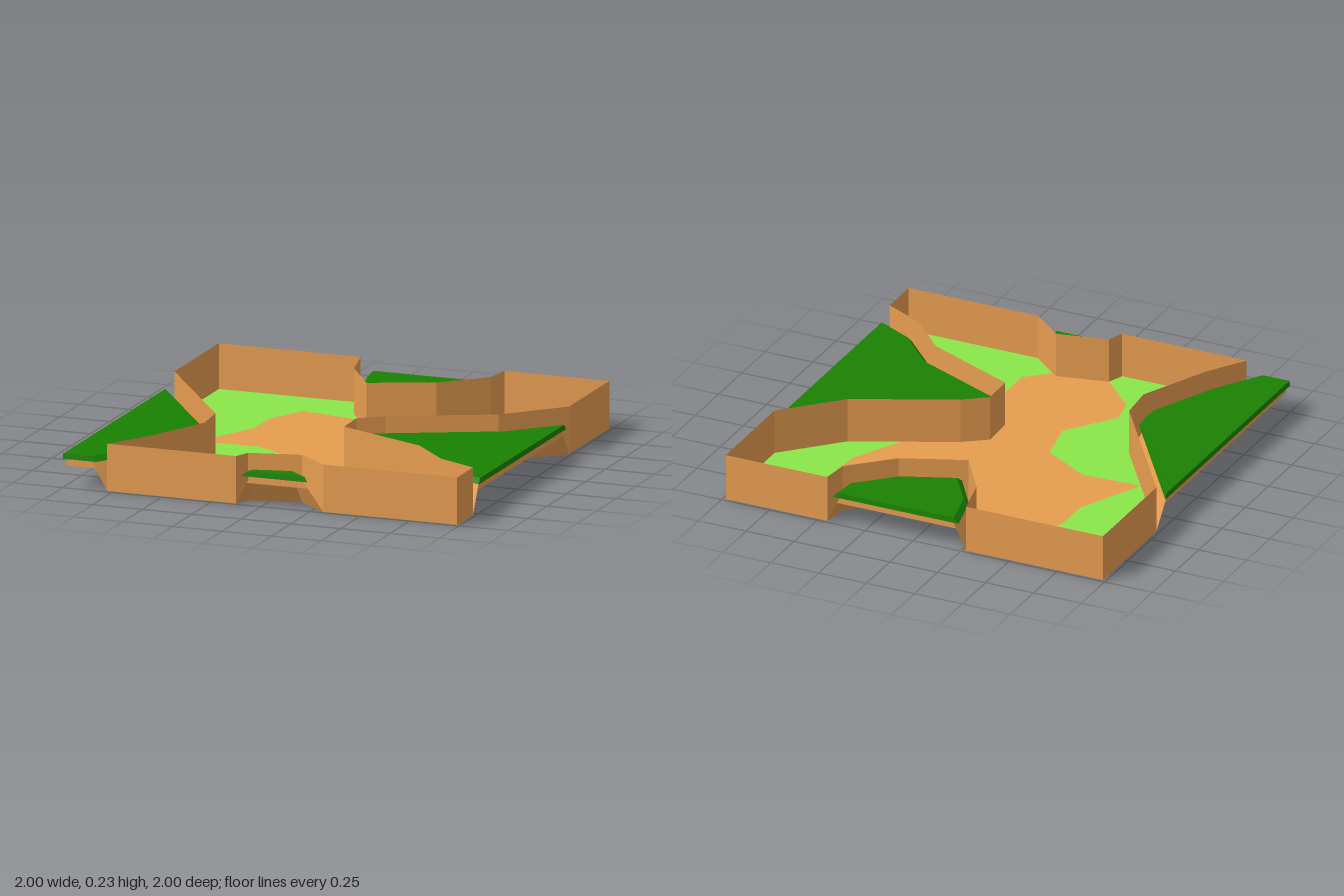
import * as THREE from 'three';

const E = 0.985; // half size of the square tile
const WALL_TOP = 0.23;
const FLOOR = 0.008;

const flat = (name, color, side = THREE.FrontSide) => {
  const m = new THREE.MeshStandardMaterial({ color, side, flatShading: true });
  m.name = name;
  return m;
};

// Notches in the tile edge, as [x, z], going round clockwise from above
const notches = {
  back: [[-0.27, -E], [-0.22, -0.77], [-0.065, -0.535], [0.24, -0.66], [0.44, -0.85], [0.455, -E]],
  left: [[E, -0.46], [0.73, -0.2], [0.25, 0.025], [0.135, 0.11], [0.14, 0.28], [0.6, 0.485], [0.785, 0.68], [E, 0.78]],
  front: [[0.31, E], [0.15, 0.85], [-0.1, 0.905], [-0.13, E]],
  right: [[-0.78, E], [-0.655, 0.79], [-0.5, 0.45], [-0.515, 0.265], [-E, -0.41]],
};

// How far the foot of each cap is set in, edge by edge
const capInsets = {
  back: [0.035, 0.035, 0.038, 0.038, 0.035],
  left: [0.065, 0.06, 0.05, 0.04, 0.038, 0.038, 0.038],
  front: [0.06, 0.042, 0.035],
  right: [0.035, 0.038, 0.032, 0.05],
};

// Dirt clearing; some of its edges run along the notches
const dirtOutline = [
  [-0.465, -0.74], [-0.158, -0.676], [-0.065, -0.535], [0.164, -0.629], [0.275, -0.535],
  [0.465, -0.545], [0.645, -0.495], [0.63, -0.345], [0.5, -0.092], [0.25, 0.025],
  [0.135, 0.11], [0.14, 0.28], [0.27, 0.338], [0.25, 0.445], [0.29, 0.615], [0.29, 0.77],
  [0.175, 0.871], [0.15, 0.85], [-0.1, 0.905], [-0.28, 0.72], [-0.305, 0.58],
  [-0.13, 0.345], [-0.175, 0.11], [-0.415, -0.035], [-0.715, -0.022], [-0.56, -0.355], [-0.56, -0.545],
];

// Horizontal polygon facing up or down
function plate(points, y, up = true) {
  const s = up ? -1 : 1;
  const g = new THREE.ShapeGeometry(new THREE.Shape(points.map(([x, z]) => new THREE.Vector2(x, s * z))));
  return g.rotateX(s * Math.PI / 2).translate(0, y, 0);
}

// Band between two rings of points, for the edges from..to
function band(low, y0, high, y1, from = 0, to = low.length) {
  const pos = [];
  for (let i = from; i < to; i++) {
    const j = (i + 1) % low.length;
    const a = [low[i][0], y0, low[i][1]], b = [low[j][0], y0, low[j][1]];
    const c = [high[j][0], y1, high[j][1]], d = [high[i][0], y1, high[i][1]];
    pos.push(...a, ...b, ...c, ...a, ...c, ...d);
  }
  const g = new THREE.BufferGeometry();
  g.setAttribute('position', new THREE.Float32BufferAttribute(pos, 3));
  g.computeVertexNormals();
  return g;
}

// Moves each polygon edge inward by its own distance and joins the lines again
function inset(poly, distance) {
  const lines = poly.map((p, i) => {
    const q = poly[(i + 1) % poly.length];
    const dx = q[0] - p[0], dz = q[1] - p[1], len = Math.hypot(dx, dz);
    const nx = dz / len, nz = -dx / len;
    return [nx, nz, nx * p[0] + nz * p[1] + distance(i)];
  });
  return lines.map(([bx, bz, bc], i) => {
    const [ax, az, ac] = lines[(i + lines.length - 1) % lines.length];
    const det = ax * bz - az * bx;
    return [(ac * bz - az * bc) / det, (ax * bc - ac * bx) / det];
  });
}

export function createModel() {
  const model = new THREE.Group();
  model.name = 'forestTile';
  const grass = flat('grass', 0x8be64a);
  const hillGrass = flat('hillGrass', 0x8be64a, THREE.DoubleSide);
  const earth = flat('earth', 0xe79d50, THREE.DoubleSide);
  const bush = flat('bush', 0x1a8102, THREE.DoubleSide);
  const base = flat('base', 0xe9e9e9);

  const add = (parent, name, geometry, material) => {
    const mesh = new THREE.Mesh(geometry, material);
    mesh.name = name;
    parent.add(mesh);
  };

  // Thin upright wall all round the floor
  const outline = [
    [-E, -E], ...notches.back, [E, -E], ...notches.left,
    [E, E], ...notches.front, ...notches.right,
  ];
  add(model, 'wall', band(outline, 0, outline, WALL_TOP), earth);

  // Dirt clearing in the middle of the floor
  add(model, 'dirtClearing', plate(dirtOutline, FLOOR), earth);
  add(model, 'dirtUnderside', plate(dirtOutline, 0, false), earth);

  // Grass in the four corners, each between the outline and the dirt
  const corners = {
    backLeft: [outline.slice(4, 10), dirtOutline.slice(3, 9)],
    frontLeft: [outline.slice(13, 18), dirtOutline.slice(12, 17)],
    frontRight: [outline.slice(20, 25), dirtOutline.slice(18, 25)],
    backRight: [[outline[25], ...outline.slice(0, 3)], [...dirtOutline.slice(24), ...dirtOutline.slice(0, 2)]],
  };
  for (const [corner, [edge, dirtEdge]] of Object.entries(corners)) {
    const region = [...edge, ...dirtEdge.reverse()];
    add(model, corner + 'Grass', plate(region, FLOOR), grass);
    add(model, corner + 'Underside', plate(region, 0, false), base);
  }

  // One hollow hill with a dark green cap in each notch
  for (const [side, notch] of Object.entries(notches)) {
    const hill = new THREE.Group();
    hill.name = side + 'Hill';
    model.add(hill);
    const foot = side === 'right' ? [...notch, [-E, E]] : notch;
    const slopes = notch.length - 1; // edges after these lie on the tile border
    const ring = (d, border) => inset(foot, (i) => (i < slopes ? d(i) : border));

    const top = ring(() => 0.07, 0);
    add(hill, 'slope', band(foot, 0, top, 0.145, 0, slopes), earth);
    add(hill, 'borderStrip', band(ring(() => 0.05, 0), 0.105, top, 0.145, slopes), earth);
    add(hill, 'hillTop', plate(top, 0.145), hillGrass);

    const skirt = ring((i) => capInsets[side][i], -0.015);
    const crown = ring((i) => Math.max(capInsets[side][i] + 0.008, 0.06), -0.012);
    add(hill, 'capSkirt', band(skirt, 0.14, crown, 0.165), bush);
    add(hill, 'capTop', plate(crown, 0.165), bush);
  }
  return model;
}
